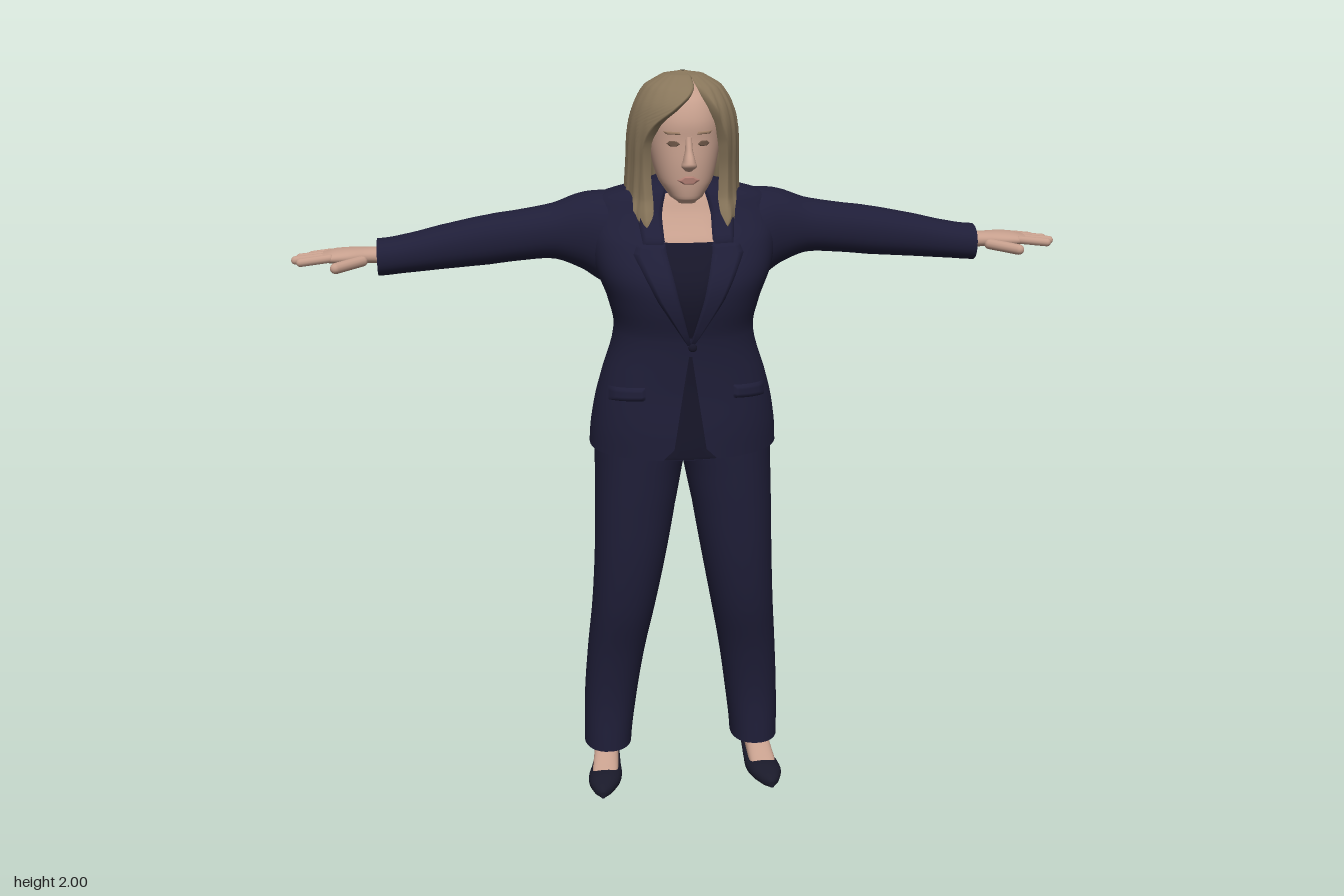
import * as THREE from 'three';

const paint = (name, color, side = THREE.FrontSide) => {
  const m = new THREE.MeshStandardMaterial({ color, side });
  m.name = name;
  return m;
};

const AXES = { x: [0, 2, 1], y: [1, 0, 2], z: [2, 1, 0] }; // main, u, v

// Smooth rows through sections [t, u0, u1, v0, v1]
function smoothRows(sections, steps) {
  const rows = [], last = sections.length - 1;
  const at = i => sections[Math.max(0, Math.min(last, i))];
  for (let i = 0; i < last; i++) {
    for (let s = 0; s < steps; s++) {
      const k = s / steps;
      rows.push(at(i).map((b, c) => {
        const a = at(i - 1)[c], d = at(i + 1)[c], e = at(i + 2)[c];
        return c === 0 ? b + (d - b) * k
          : 0.5 * (2 * b + (d - a) * k + (2 * a - 5 * b + 4 * d - e) * k * k + (3 * b - a - 3 * d + e) * k ** 3);
      }));
    }
  }
  rows.push(at(last).slice());
  return rows;
}

function meshData(pos, index) {
  const g = new THREE.BufferGeometry();
  g.setAttribute('position', new THREE.Float32BufferAttribute(pos, 3));
  g.setIndex(index);
  g.computeVertexNormals();
  return g;
}

// Closed skin over rounded sections; n sets the squareness
function loft(axis, sections, { n = 2.2, seg = 32, steps = 5 } = {}) {
  const rows = smoothRows(sections, steps), [A, U, V] = AXES[axis], pos = [], index = [];
  const put = (t, u, v) => {
    const p = [0, 0, 0];
    p[A] = t; p[U] = u; p[V] = v;
    pos.push(...p);
    return pos.length / 3 - 1;
  };
  const ring = ([t, u0, u1, v0, v1]) => {
    for (let j = 0; j < seg; j++) {
      const a = j / seg * Math.PI * 2, c = Math.cos(a), s = Math.sin(a);
      put(t, (u0 + u1) / 2 + (u1 - u0) / 2 * Math.sign(c) * Math.abs(c) ** (2 / n),
        (v0 + v1) / 2 + (v1 - v0) / 2 * Math.sign(s) * Math.abs(s) ** (2 / n));
    }
  };
  rows.forEach(ring);
  for (let i = 0; i < rows.length - 1; i++) for (let j = 0; j < seg; j++) {
    const a = i * seg + j, b = i * seg + (j + 1) % seg;
    index.push(a, a + seg, b, b, a + seg, b + seg);
  }
  for (const [r, top] of [[rows[0], false], [rows[rows.length - 1], true]]) {
    const start = pos.length / 3;
    ring(r);
    const mid = put(r[0], (r[1] + r[2]) / 2, (r[3] + r[4]) / 2);
    for (let j = 0; j < seg; j++) {
      const a = start + j, b = start + (j + 1) % seg;
      index.push(mid, top ? b : a, top ? a : b);
    }
  }
  const g = meshData(pos, index);
  // front surface depth of an upright loft
  g.userData.front = (x, y) => {
    let i = 0;
    while (i < rows.length - 2 && rows[i + 1][0] < y) i++;
    const k = THREE.MathUtils.clamp((y - rows[i][0]) / (rows[i + 1][0] - rows[i][0]), 0, 1);
    const [, x0, x1, z0, z1] = rows[i].map((a, c) => a + (rows[i + 1][c] - a) * k);
    const q = Math.min(1, Math.abs((x - (x0 + x1) / 2) / ((x1 - x0) / 2)));
    return (z0 + z1) / 2 + (z1 - z0) / 2 * (1 - q ** n) ** (1 / n);
  };
  return g;
}

// Plate lying on a loft's front, rows [y, x0, x1] from bottom to top; tilt raises y along x
function plate(base, rows, lift, tilt = 0, nx = 10, sub = 6) {
  const pos = [], index = [], ny = (rows.length - 1) * sub;
  for (let i = 0; i <= ny; i++) {
    const r = Math.min(rows.length - 2, Math.floor(i / sub)), k = i / sub - r;
    const [y, x0, x1] = rows[r].map((a, c) => a + (rows[r + 1][c] - a) * k);
    for (let j = 0; j <= nx; j++) {
      const x = x0 + (x1 - x0) * j / nx, yy = y + tilt * (x - x0);
      const edge = j === 0 || j === nx || i === 0 || i === ny;
      pos.push(x, yy, base.userData.front(x, yy) + (edge ? 0.001 : lift));
    }
  }
  for (let i = 0; i < ny; i++) for (let j = 0; j < nx; j++) {
    const a = i * (nx + 1) + j, b = a + nx + 1;
    index.push(a, a + 1, b, b, a + 1, b + 1);
  }
  return meshData(pos, index);
}

// Hair shell, rows [y, halfWidth, back, front, openRight, openLeft] with the face gap in radians
function hairShell(sections) {
  const rows = smoothRows(sections, 5), cols = 96, pos = [], index = [];
  rows.push(rows[rows.length - 1].slice());
  rows.forEach(([y, w, zb, zf, right, left], i) => {
    const end = i === rows.length - 1, low = i / (rows.length - 1);
    for (let j = 0; j <= cols; j++) {
      const a = left + (Math.PI * 2 + right - left) * j / cols;
      const strand = 1 + 0.012 * Math.sin(a * 23 + low * 2) + 0.007 * Math.sin(a * 41 + 1);
      const fold = (j === 0 || j === cols) ? 0.86 : end ? 0.8 : 1;
      const drop = low > 0.8 ? (low - 0.8) * 0.07 * Math.sin(a * 17) : 0;
      const r = strand * fold;
      pos.push(Math.sin(a) * w * r, y + drop, (zf + zb) / 2 + Math.cos(a) * (zf - zb) / 2 * r);
    }
  });
  for (let i = 0; i < rows.length - 1; i++) for (let j = 0; j < cols; j++) {
    const a = i * (cols + 1) + j, b = a + cols + 1;
    index.push(a, b, a + 1, a + 1, b, b + 1);
  }
  return meshData(pos, index);
}

// Rounded finger between two points
function finger(from, to, r) {
  const a = new THREE.Vector3(...from), b = new THREE.Vector3(...to), d = b.clone().sub(a);
  const g = new THREE.CapsuleGeometry(r, d.length() - 2 * r, 5, 12);
  g.applyQuaternion(new THREE.Quaternion().setFromUnitVectors(new THREE.Vector3(0, 1, 0), d.normalize()));
  return g.translate((from[0] + to[0]) / 2, (from[1] + to[1]) / 2, (from[2] + to[2]) / 2);
}

function mirrored(g) {
  const m = g.clone().scale(-1, 1, 1), ix = m.index.array;
  for (let i = 0; i < ix.length; i += 3) [ix[i], ix[i + 1]] = [ix[i + 1], ix[i]];
  return m;
}

export function createModel() {
  const model = new THREE.Group();
  const D = THREE.DoubleSide;
  const suit = paint('navy suit', 0x1f1e38, D), shade = paint('dark navy', 0x171629, D);
  const skin = paint('skin', 0xc69f8d, D), hair = paint('dark blond hair', 0x88765b, D);
  const lips = paint('lips', 0xb27f74, D), eye = paint('eye', 0x6b5546, D);
  const shoe = paint('shoe', 0x1a1a2a), brow = paint('brow', 0xa08068, D);

  const add = (name, g, m) => {
    const mesh = new THREE.Mesh(g, m);
    mesh.name = name;
    model.add(mesh);
  };
  const pair = (name, g, m) => {
    add(name + 'Left', g, m);
    add(name + 'Right', mirrored(g), m);
  };

  // Jacket body
  const jacket = loft('y', [
    [1.02, -0.25, 0.25, -0.19, 0.175], [1.1, -0.243, 0.243, -0.172, 0.175],
    [1.2, -0.222, 0.222, -0.15, 0.17], [1.34, -0.183, 0.183, -0.148, 0.175],
    [1.43, -0.2, 0.2, -0.165, 0.194], [1.5, -0.228, 0.228, -0.175, 0.188],
    [1.58, -0.245, 0.245, -0.17, 0.142], [1.64, -0.245, 0.245, -0.16, 0.09],
    [1.685, -0.215, 0.215, -0.135, 0.065], [1.715, -0.12, 0.12, -0.105, 0.05],
    [1.73, -0.07, 0.07, -0.085, 0.035]], { seg: 64 });
  add('jacketBody', jacket, suit);
  add('jacketOpening', plate(jacket, [[1.022, -0.07, 0.07], [1.05, -0.042, 0.042], [1.3, -0.004, 0.004]], 0.002), shade);
  add('shirt', plate(jacket, [[1.35, -0.004, 0.004], [1.46, -0.04, 0.04], [1.59, -0.068, 0.068]], 0.003), shade);
  add('chest', plate(jacket, [[1.588, -0.066, 0.066], [1.64, -0.068, 0.068], [1.7, -0.05, 0.05]], 0.004), skin);
  pair('lapel', plate(jacket, [[1.33, -0.002, 0.008], [1.45, 0.03, 0.085], [1.56, 0.056, 0.14], [1.585, 0.06, 0.13]], 0.011), suit);
  pair('collar', plate(jacket, [[1.583, 0.06, 0.115], [1.65, 0.062, 0.125], [1.715, 0.05, 0.09]], 0.011), suit);
  pair('pocketFlap', plate(jacket, [[1.18, 0.115, 0.205], [1.215, 0.115, 0.205]], 0.009, -0.12), suit);
  add('button', new THREE.SphereGeometry(0.011, 16, 10).scale(1, 1, 0.5).translate(0.005, 1.325, jacket.userData.front(0, 1.325) + 0.004), shade);

  // Sleeves
  pair('sleeve', loft('x', [
    [0.13, -0.13, 0.05, 1.47, 1.685], [0.2, -0.14, 0.06, 1.455, 1.692], [0.26, -0.138, 0.042, 1.49, 1.685],
    [0.33, -0.125, 0.024, 1.517, 1.66], [0.42, -0.115, 0.02, 1.515, 1.645], [0.5, -0.112, 0.02, 1.507, 1.634],
    [0.62, -0.1, 0.022, 1.5, 1.612], [0.72, -0.092, 0.022, 1.493, 1.59], [0.783, -0.088, 0.022, 1.488, 1.582]]), suit);

  // Hands
  pair('palm', loft('x', [
    [0.76, -0.064, 0.002, 1.52, 1.562], [0.81, -0.062, 0.006, 1.523, 1.562], [0.85, -0.068, 0.018, 1.523, 1.563],
    [0.89, -0.072, 0.02, 1.525, 1.56], [0.92, -0.068, 0.016, 1.53, 1.553]]), skin);
  [[-0.06, -0.068, 0.962], [-0.037, -0.044, 0.99], [-0.014, -0.015, 1], [0.008, 0.014, 0.985]].forEach(([z0, z1, x], i) =>
    pair('finger' + (i + 1), finger([0.89, 1.545, z0], [x, 1.535, z1], 0.011), skin));
  pair('thumb', finger([0.81, 1.535, -0.005], [0.895, 1.528, 0.066], 0.014), skin);

  // Trousers
  pair('trouserLeg', loft('y', [
    [0.1, 0.145, 0.278, -0.132, 0.04], [0.25, 0.128, 0.275, -0.124, 0.04], [0.4, 0.106, 0.265, -0.108, 0.062],
    [0.55, 0.078, 0.252, -0.093, 0.1], [0.7, 0.05, 0.244, -0.09, 0.122], [0.85, 0.024, 0.24, -0.105, 0.132],
    [0.96, 0.002, 0.238, -0.14, 0.137], [1.05, -0.02, 0.235, -0.155, 0.14], [1.12, -0.02, 0.22, -0.14, 0.14]]), suit);

  // Feet and heeled shoes, toes turned slightly out
  const turn = g => {
    const p = g.attributes.position;
    for (let i = 0; i < p.count; i++) p.setX(i, p.getX(i) + 0.22 + 0.15 * p.getZ(i));
    g.computeVertexNormals();
    return g;
  };
  pair('shoe', turn(loft('z', [
    [-0.118, 0.07, 0.1, -0.018, 0.018], [-0.1, 0.055, 0.112, -0.03, 0.03], [-0.05, 0.04, 0.08, -0.034, 0.034],
    [0, 0.012, 0.058, -0.041, 0.041], [0.04, 0, 0.055, -0.047, 0.047], [0.08, 0, 0.052, -0.043, 0.043],
    [0.115, 0.002, 0.04, -0.026, 0.026], [0.134, 0.006, 0.026, -0.007, 0.007]])), shoe);
  pair('heel', turn(loft('y', [
    [0, -0.011, 0.011, -0.116, -0.092], [0.04, -0.011, 0.011, -0.114, -0.088], [0.08, -0.024, 0.024, -0.116, -0.06]])), shoe);
  pair('foot', turn(loft('z', [
    [-0.1, 0.07, 0.16, -0.022, 0.022], [-0.04, 0.05, 0.15, -0.032, 0.032], [0.005, 0.03, 0.105, -0.035, 0.035],
    [0.045, 0.02, 0.068, -0.036, 0.036], [0.07, 0.02, 0.048, -0.03, 0.03]])), skin);

  // Neck and head
  add('neck', loft('y', [[1.6, -0.075, 0.075, -0.08, 0.07], [1.66, -0.062, 0.062, -0.075, 0.06],
    [1.72, -0.056, 0.056, -0.075, 0.055], [1.78, -0.058, 0.058, -0.075, 0.055]]), skin);
  const head = loft('y', [
    [1.683, -0.022, 0.022, 0.065, 0.112], [1.697, -0.042, 0.042, 0.02, 0.126], [1.735, -0.068, 0.068, -0.03, 0.132],
    [1.785, -0.083, 0.083, -0.07, 0.134], [1.84, -0.092, 0.092, -0.09, 0.131], [1.89, -0.092, 0.092, -0.1, 0.129],
    [1.94, -0.075, 0.075, -0.08, 0.105], [1.975, -0.035, 0.035, -0.03, 0.05]], { seg: 48 });
  add('head', head, skin);
  add('nose', loft('y', [
    [1.768, -0.009, 0.009, 0.11, 0.14], [1.78, -0.019, 0.019, 0.11, 0.161], [1.792, -0.016, 0.016, 0.11, 0.164],
    [1.82, -0.01, 0.01, 0.11, 0.148], [1.853, -0.009, 0.009, 0.11, 0.134]]), skin);
  pair('eye', plate(head, [[1.829, 0.03, 0.046], [1.835, 0.022, 0.054], [1.842, 0.03, 0.047]], 0.003), eye);
  pair('brow', plate(head, [[1.858, 0.02, 0.055], [1.865, 0.024, 0.062]], 0.004), brow);
  add('mouth', plate(head, [[1.735, -0.012, 0.012], [1.745, -0.029, 0.029], [1.755, -0.01, 0.01]], 0.006), lips);

  // Shoulder length hair parted on the left side
  add('hair', hairShell([
    [2, 0.006, -0.006, 0.012, 0.3, 0.3], [1.992, 0.052, -0.045, 0.055, 0.3, 0.3], [1.965, 0.097, -0.092, 0.105, 0.22, 0.32],
    [1.925, 0.122, -0.12, 0.135, -0.15, 0.48], [1.88, 0.136, -0.135, 0.142, -0.58, 0.62], [1.83, 0.142, -0.142, 0.135, -0.78, 0.72],
    [1.76, 0.144, -0.146, 0.12, -0.78, 0.75], [1.69, 0.148, -0.16, 0.12, -0.72, 0.72], [1.645, 0.155, -0.17, 0.14, -0.68, 0.68],
    [1.618, 0.15, -0.174, 0.15, -0.7, 0.7]]), hair);

  return model;
}
